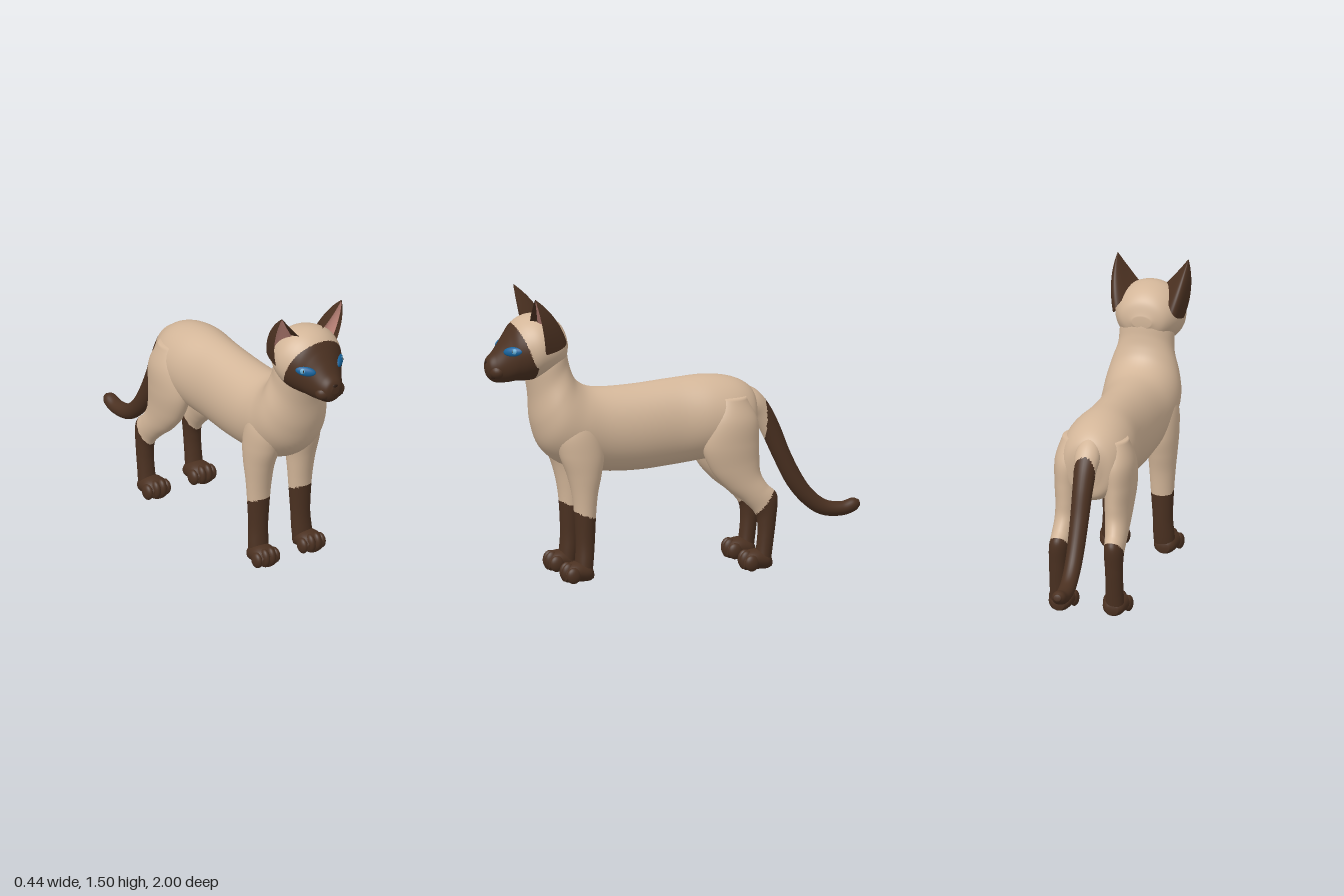
import * as THREE from 'three';
import { ParametricGeometry } from 'three/addons/geometries/ParametricGeometry.js';

const mat = (name, color, side = THREE.FrontSide) => {
  const m = new THREE.MeshStandardMaterial({ color, side });
  m.name = name;
  return m;
};

// Smooth skin through oval rings. Each section: [x, upperZ, upperY, lowerZ, lowerY, halfWidth]
function loft(sections, rows, segs, mirror = 1, isSecond = null) {
  const upper = new THREE.CatmullRomCurve3(sections.map(s => new THREE.Vector3(s[5], s[2], s[1])), false, 'catmullrom');
  const lower = new THREE.CatmullRomCurve3(sections.map(s => new THREE.Vector3(s[0], s[4], s[3])), false, 'catmullrom');
  const pos = [], tris = [];
  const centre = t => {
    const a = upper.getPoint(t), b = lower.getPoint(t);
    return [b.x * mirror, (a.y + b.y) / 2, (a.z + b.z) / 2];
  };
  for (let i = 0; i <= rows; i++) {
    const a = upper.getPoint(i / rows), b = lower.getPoint(i / rows);
    const [cx, cy, cz] = centre(i / rows);
    for (let j = 0; j < segs; j++) {
      const w = (j / segs) * Math.PI * 2, c = Math.cos(w), s = Math.sin(w);
      pos.push(cx + a.x * c, cy + (a.y - b.y) / 2 * s, cz + (a.z - b.z) / 2 * s);
    }
  }
  for (let i = 0; i < rows; i++) {
    for (let j = 0; j < segs; j++) {
      const k = (j + 1) % segs, p = i * segs, q = p + segs;
      tris.push([p + j, p + k, q + j], [p + k, q + k, q + j]);
    }
  }
  // close both ends
  const first = pos.length / 3, end = rows * segs;
  pos.push(...centre(0), ...centre(1));
  for (let j = 0; j < segs; j++) {
    const k = (j + 1) % segs;
    tris.push([first, k, j], [first + 1, end + j, end + k]);
  }
  // make all corners run outward
  const at = i => new THREE.Vector3(pos[3 * i], pos[3 * i + 1], pos[3 * i + 2]);
  let volume = 0;
  for (const t of tris) volume += at(t[0]).dot(at(t[1]).cross(at(t[2])));
  if (volume < 0) tris.forEach(t => t.reverse());
  // sort faces into two colour groups
  const one = [], two = [];
  for (const t of tris) {
    const m = at(t[0]).add(at(t[1])).add(at(t[2])).divideScalar(3);
    (isSecond && isSecond(m) ? two : one).push(...t);
  }
  const g = new THREE.BufferGeometry();
  g.setAttribute('position', new THREE.Float32BufferAttribute(pos, 3));
  g.setIndex(one.concat(two));
  if (isSecond) {
    g.addGroup(0, one.length, 0);
    g.addGroup(one.length, two.length, 1);
  }
  g.computeVertexNormals();
  return g;
}

export function createModel() {
  const cat = new THREE.Group();
  cat.name = 'cat';
  const cream = mat('cream fur', 0xd3b699);
  const brown = mat('dark brown fur', 0x4b3121);
  const earBrown = mat('ear brown', 0x4b3121, THREE.DoubleSide);
  const pink = mat('inner ear pink', 0xc88c80, THREE.DoubleSide);
  const blue = mat('eye blue', 0x16639c);
  const paleBlue = mat('iris pale blue', 0x62a9cf);
  const dark = mat('nose and pupil dark', 0x2c1b12);
  const coat = [cream, brown];

  const add = (name, geometry, material, parent = cat) => {
    const m = new THREE.Mesh(geometry, material);
    m.name = name;
    parent.add(m);
    return m;
  };
  const blob = (name, material, p, r, parent = cat) => {
    const m = add(name, new THREE.SphereGeometry(1, 24, 16), material, parent);
    m.position.set(...p);
    m.scale.set(...r);
    return m;
  };

  // torso, chest and neck in one sweep from rump to skull
  add('bodyAndNeck', loft([
    [0, -0.445, 0.85, -0.42, 0.68, 0.06],
    [0, -0.41, 0.925, -0.4, 0.6, 0.135],
    [0, -0.32, 0.977, -0.3, 0.57, 0.18],
    [0, -0.18, 1.0, -0.17, 0.565, 0.188],
    [0, 0, 0.992, 0, 0.545, 0.167],
    [0, 0.2, 0.976, 0.2, 0.53, 0.17],
    [0, 0.37, 0.972, 0.4, 0.54, 0.178],
    [0, 0.46, 0.985, 0.58, 0.58, 0.195],
    [0, 0.52, 1.025, 0.7, 0.67, 0.198],
    [0, 0.55, 1.08, 0.75, 0.8, 0.178],
    [0, 0.565, 1.14, 0.765, 0.95, 0.147],
    [0, 0.577, 1.21, 0.785, 1.07, 0.14],
    [0, 0.61, 1.27, 0.8, 1.15, 0.12],
  ], 80, 48), cream);

  // head with a dark mask over the face
  const mask = p => p.z > 0.76 && (p.x / 0.172) ** 2 + ((p.y - 1.185) / 0.15) ** 2 < 1;
  add('head', loft([
    [0, 0.572, 1.24, 0.572, 1.18, 0.05],
    [0, 0.6, 1.315, 0.6, 1.12, 0.118],
    [0, 0.66, 1.362, 0.66, 1.07, 0.16],
    [0, 0.74, 1.38, 0.74, 1.045, 0.183],
    [0, 0.8, 1.37, 0.8, 1.04, 0.172],
    [0, 0.85, 1.34, 0.85, 1.04, 0.145],
    [0, 0.885, 1.295, 0.885, 1.035, 0.118],
    [0, 0.92, 1.245, 0.92, 1.035, 0.092],
    [0, 0.955, 1.198, 0.955, 1.04, 0.072],
    [0, 0.985, 1.168, 0.985, 1.065, 0.05],
    [0, 0.998, 1.14, 0.998, 1.1, 0.022],
  ], 120, 120, 1, mask), coat);

  // nose and mouth
  blob('nose', dark, [0, 1.142, 0.985], [0.022, 0.013, 0.014]);
  const lip = [[-0.065, 1.075, 0.965], [-0.035, 1.07, 0.974], [0, 1.085, 0.99], [0.035, 1.07, 0.974], [0.065, 1.075, 0.965]];
  const lipCurve = new THREE.CatmullRomCurve3(lip.map(p => new THREE.Vector3(...p)));
  add('mouth', new THREE.TubeGeometry(lipCurve, 24, 0.004, 6), dark);

  // tail, dark beyond its root
  add('tail', loft([
    [0, -0.36, 0.95, -0.36, 0.8, 0.06],
    [0, -0.45, 0.9, -0.42, 0.77, 0.066],
    [0, -0.515, 0.82, -0.44, 0.74, 0.058],
    [0, -0.57, 0.71, -0.485, 0.655, 0.052],
    [0, -0.625, 0.57, -0.54, 0.535, 0.048],
    [0, -0.69, 0.44, -0.61, 0.395, 0.045],
    [0, -0.75, 0.355, -0.695, 0.29, 0.043],
    [0, -0.82, 0.3, -0.79, 0.225, 0.042],
    [0, -0.9, 0.285, -0.9, 0.212, 0.04],
    [0, -0.96, 0.3, -0.972, 0.232, 0.036],
    [0, -0.992, 0.29, -0.999, 0.258, 0.018],
  ], 90, 28, 1, p => p.z < -0.49), coat);

  const frontLeg = [
    [0.1, 0.62, 0.88, 0.46, 0.88, 0.07],
    [0.112, 0.66, 0.77, 0.42, 0.77, 0.09],
    [0.124, 0.64, 0.66, 0.405, 0.65, 0.085],
    [0.13, 0.6, 0.55, 0.42, 0.55, 0.075],
    [0.13, 0.575, 0.45, 0.44, 0.45, 0.067],
    [0.13, 0.562, 0.35, 0.45, 0.34, 0.06],
    [0.132, 0.555, 0.2, 0.457, 0.2, 0.052],
    [0.136, 0.56, 0.1, 0.465, 0.1, 0.055],
    [0.14, 0.57, 0.03, 0.475, 0.02, 0.055],
  ];
  const hindLeg = [
    [0.1, -0.2, 0.9, -0.36, 0.9, 0.07],
    [0.122, -0.14, 0.78, -0.415, 0.78, 0.086],
    [0.13, -0.12, 0.65, -0.42, 0.66, 0.08],
    [0.13, -0.17, 0.52, -0.422, 0.57, 0.07],
    [0.133, -0.25, 0.425, -0.428, 0.5, 0.062],
    [0.14, -0.335, 0.355, -0.46, 0.44, 0.055],
    [0.145, -0.395, 0.29, -0.512, 0.38, 0.05],
    [0.148, -0.41, 0.22, -0.505, 0.26, 0.046],
    [0.148, -0.405, 0.13, -0.49, 0.14, 0.046],
    [0.147, -0.39, 0.03, -0.475, 0.02, 0.05],
  ];
  const pawRings = [
    [0, -0.095, 0.06, -0.095, 0.01, 0.03], [0, -0.07, 0.09, -0.07, 0, 0.055],
    [0, -0.02, 0.105, -0.02, 0, 0.066], [0, 0.03, 0.095, 0.03, 0, 0.07],
    [0, 0.06, 0.065, 0.06, 0.005, 0.05],
  ];

  for (const side of [1, -1]) {
    const label = side > 0 ? 'left' : 'right';

    // legs with dark stockings
    add(label + 'FrontLeg', loft(frontLeg, 80, 36, side, p => p.y < 0.34 + (p.z - 0.5) * 0.35), coat);
    add(label + 'HindLeg', loft(hindLeg, 80, 36, side, p => p.y < 0.29 - (p.z + 0.4) * 1.25), coat);

    // paws with four toes
    for (const [name, z] of [['FrontPaw', 0.565], ['HindPaw', -0.385]]) {
      const paw = new THREE.Group();
      paw.name = label + name;
      paw.position.set(side * 0.143, 0, z);
      add('pad', loft(pawRings, 20, 28), brown, paw);
      for (const i of [-1.5, -0.5, 0.5, 1.5]) {
        const inner = Math.abs(i) < 1;
        blob('toe', brown, [i * 0.037, inner ? 0.05 : 0.042, inner ? 0.037 : 0.022], [0.023, inner ? 0.05 : 0.042, 0.038], paw);
      }
      cat.add(paw);
    }

    // muzzle cheek
    blob(label + 'MuzzleCheek', brown, [side * 0.035, 1.1, 0.945], [0.05, 0.04, 0.042]);

    // almond eye with iris and slit pupil
    const eye = new THREE.Group();
    eye.name = label + 'Eye';
    eye.position.set(side * 0.106, 1.213, 0.882);
    eye.rotation.set(-0.25, side * 0.78, side * 0.12, 'YXZ');
    blob('eyeball', blue, [0, 0, 0], [0.054, 0.025, 0.017], eye);
    blob('iris', paleBlue, [side * 0.012, 0, 0.002], [0.023, 0.019, 0.017], eye);
    blob('pupil', dark, [side * 0.008, 0, 0.003], [0.005, 0.014, 0.0175], eye);
    cat.add(eye);

    // pointed ear: a curved shell between two edges, with a pink lining
    const arc = (...p) => new THREE.QuadraticBezierCurve3(...p.map(q => new THREE.Vector3(...q)));
    const innerEdge = arc([0.068, 1.355, 0.78], [0.13, 1.42, 0.795], [0.187, 1.497, 0.79]);
    const outerEdge = arc([0.18, 1.2, 0.73], [0.236, 1.36, 0.755], [0.187, 1.497, 0.79]);
    const back = arc([0.17, 1.25, 0.47], [0.19, 1.42, 0.56], [0.187, 1.497, 0.79]);
    const shell = (inset, flatten, top) => new ParametricGeometry((u, v, target) => {
      const t = v * top, s = inset + u * (1 - 2 * inset);
      const a = innerEdge.getPoint(t), b = outerEdge.getPoint(t);
      const c = back.getPoint(t).lerp(a.clone().add(b).multiplyScalar(0.5), flatten);
      target.copy(a.multiplyScalar((1 - s) ** 2)).addScaledVector(c, 2 * s * (1 - s)).addScaledVector(b, s * s);
      target.x *= side;
    }, 24, 24);
    add(label + 'Ear', shell(0, 0, 1), earBrown);
    add(label + 'EarLining', shell(0.1, 0.4, 0.93), pink);
  }
  return cat;
}
